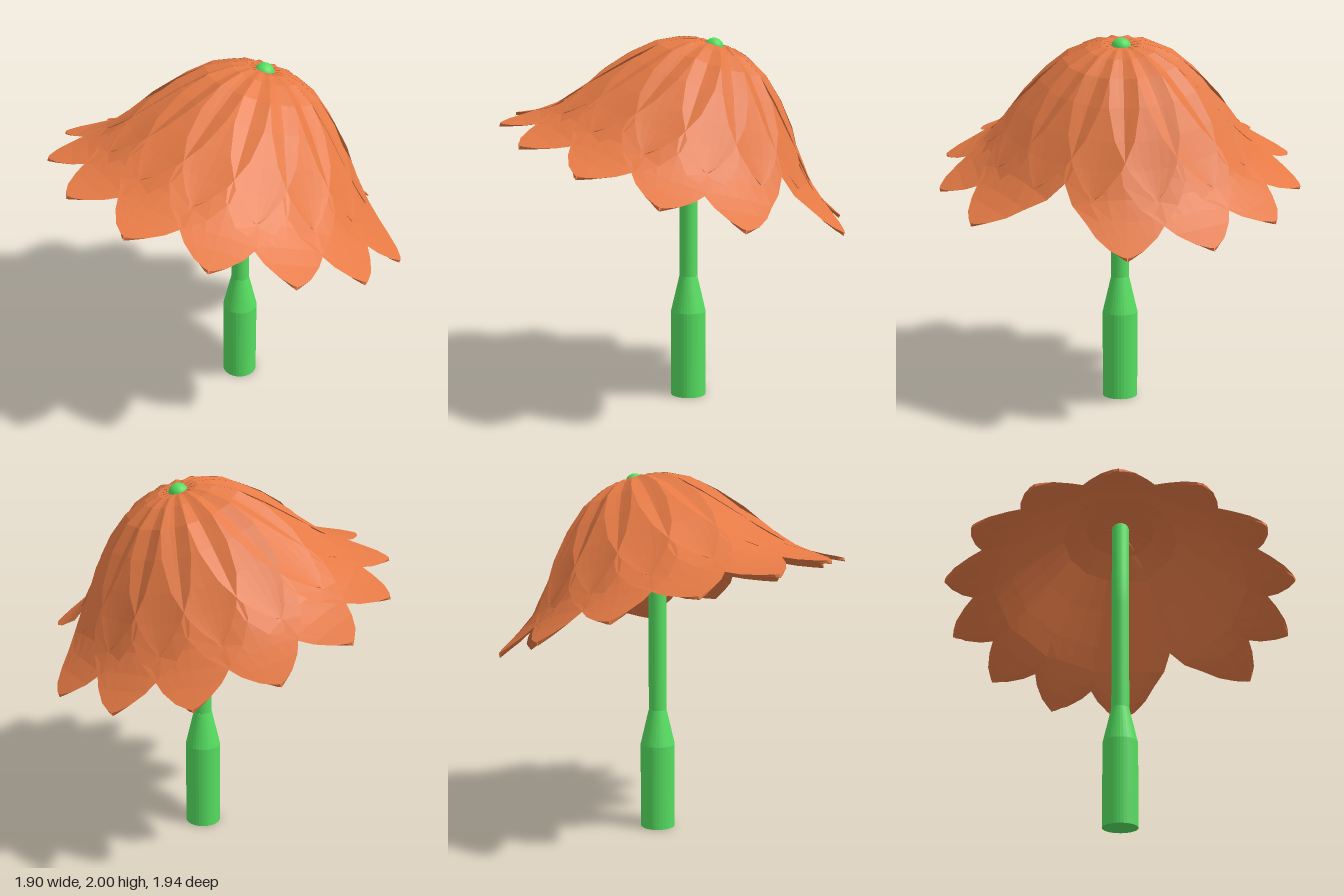
import * as THREE from 'three';

const PETALS = 14;
const TILT = 0.312;
const orange = new THREE.MeshStandardMaterial({ color: 0xe57a45, flatShading: true, side: THREE.DoubleSide });
const green = new THREE.MeshStandardMaterial({ color: 0x55dd60 });

// canopy profile: [radius, height]
const PROFILE = [[0, 0.7], [0.1, 0.71], [0.2, 0.68], [0.33, 0.595], [0.47, 0.445],
  [0.55, 0.36], [0.63, 0.265], [0.74, 0.15], [0.86, 0.07], [1, 0]];
// petal outlines: [radius, half width]
const OUTER = [[0.04, 0.015], [0.2, 0.1], [0.33, 0.19], [0.47, 0.27], [0.61, 0.305],
  [0.71, 0.265], [0.8, 0.2], [0.88, 0.15], [0.95, 0.085], [0.985, 0.028], [0.993, 0.003]];
const INNER = [[0.05, 0.018], [0.1, 0.05], [0.17, 0.085], [0.28, 0.135], [0.4, 0.17], [0.52, 0.17],
  [0.62, 0.125], [0.69, 0.06], [0.72, 0.01]];

function canopyHeight(r) {
  for (let i = 1; i < PROFILE.length; i++) {
    const [r0, h0] = PROFILE[i - 1], [r1, h1] = PROFILE[i];
    if (r <= r1) return h0 + (h1 - h0) * (r - r0) / (r1 - r0);
  }
  return PROFILE[PROFILE.length - 1][1];
}

// closed petal lying on the canopy along +x, with sides that curl up off the dome
function petalGeometry(outline, { lift, follow, curl, thickness }) {
  const cols = 6, ring = cols * 2, pos = [], index = [];
  for (const [r, w] of outline) {
    for (let k = 0; k < ring; k++) {
      // over the top from one side to the other, then back underneath
      const s = k <= cols ? k / cols * 2 - 1 : 3 - k / cols * 2;
      const v = w * s;
      const drop = k > cols ? thickness * (1 - s ** 4) : 0;
      const y = canopyHeight(r + follow * (Math.hypot(r, v) - r)) + lift * (1 - r) + curl * w * s * s - drop;
      pos.push(r, y, -v);
    }
  }
  for (let i = 0; i < outline.length - 1; i++) {
    for (let k = 0; k < ring; k++) {
      const a = i * ring + k, b = i * ring + (k + 1) % ring;
      index.push(a, a + ring, b + ring, a, b + ring, b);
    }
  }
  const g = new THREE.BufferGeometry();
  g.setAttribute('position', new THREE.Float32BufferAttribute(pos, 3));
  g.setIndex(index);
  g.computeVertexNormals();
  return g;
}

export function createModel() {
  const model = new THREE.Group();
  const add = (parent, geometry, material, name) => {
    const mesh = new THREE.Mesh(geometry, material);
    mesh.name = name;
    parent.add(mesh);
    return mesh;
  };

  // handle and its taper into the stem
  const handlePoints = [[0, 0], [0.097, 0], [0.097, 0.48], [0.05, 0.68]].map(p => new THREE.Vector2(...p));
  const handleMaterial = green.clone();
  handleMaterial.flatShading = true;
  const handle = add(model, new THREE.LatheGeometry(handlePoints, 32), handleMaterial, 'handle');
  handle.position.x = 0.077;

  // straight stem, bending under the canopy towards the flower centre
  const point = (x, y) => new THREE.Vector3(x, y, 0);
  const path = new THREE.CurvePath();
  path.add(new THREE.LineCurve3(point(0.077, 0.68), point(0.077, 1.32)));
  path.add(new THREE.QuadraticBezierCurve3(point(0.077, 1.32), point(0.077, 1.5), point(0.21, 1.92)));
  add(model, new THREE.TubeGeometry(path, 32, 0.05, 20), green, 'stem');

  // tilted flower canopy
  const canopy = new THREE.Group();
  canopy.name = 'canopy';
  canopy.position.y = 1.265;
  canopy.rotation.z = -TILT;
  model.add(canopy);

  const outer = petalGeometry(OUTER, { lift: -0.02, follow: 0.6, curl: 0, thickness: 0.02 });
  const inner = petalGeometry(INNER, { lift: 0.022, follow: 0.2, curl: 0.12, thickness: 0.01 });
  for (let i = 0; i < PETALS; i++) {
    const step = 2 * Math.PI / PETALS;
    // one outer petal is missing at the front left
    if (i !== PETALS - 1) add(canopy, outer, orange, 'outerPetal').rotation.y = i * step;
    add(canopy, inner, orange, 'innerPetal').rotation.y = (i + 0.5) * step;
  }

  // cap closing the petal roots, and the flower centre
  const capPoints = [0, 0.07].map(r => new THREE.Vector2(r, canopyHeight(r)));
  add(canopy, new THREE.LatheGeometry(capPoints, PETALS), orange, 'petalRoots');
  const knob = add(canopy, new THREE.SphereGeometry(0.054, 24, 16), green, 'flowerCentre');
  knob.position.y = 0.71;
  return model;
}
